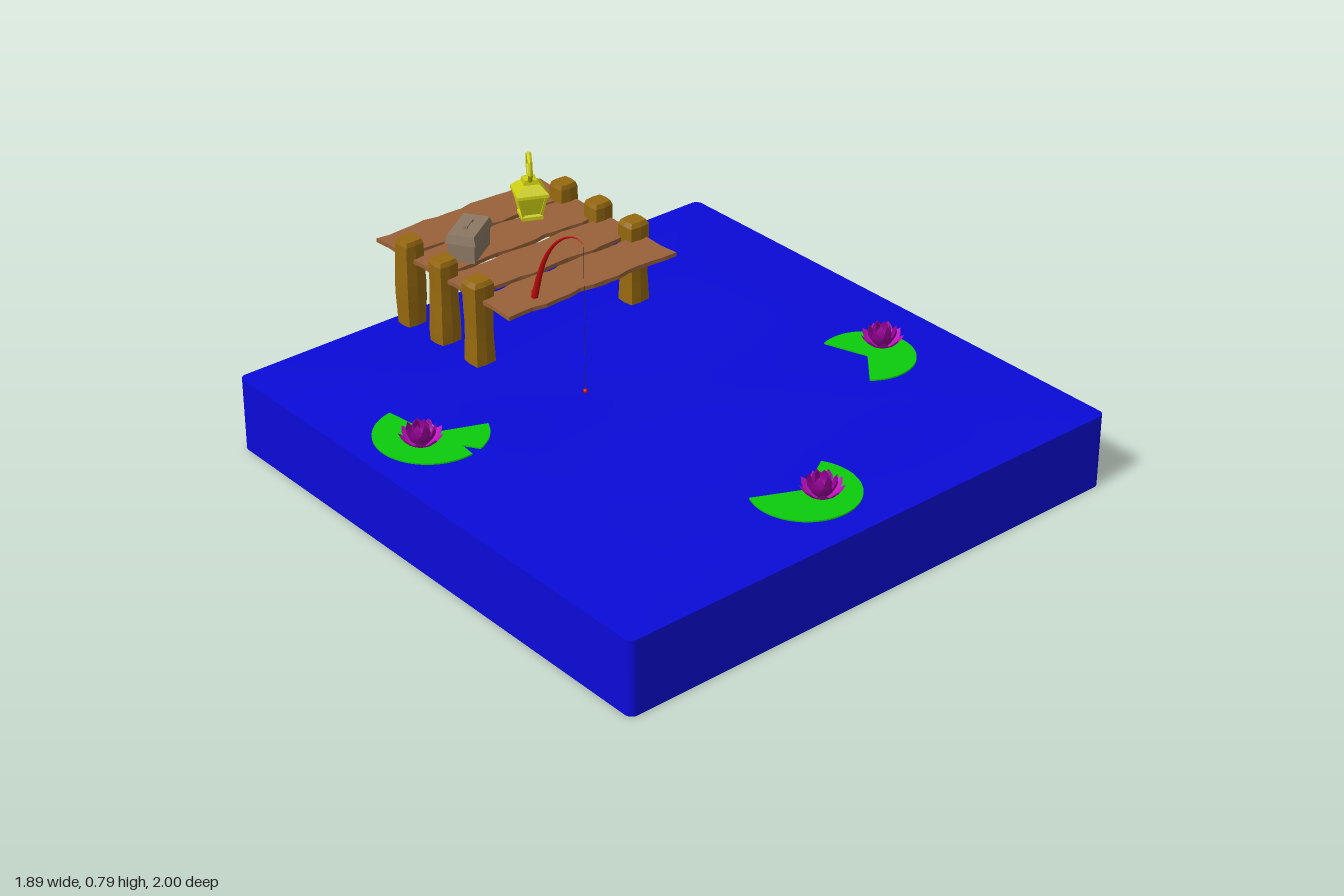
import * as THREE from 'three';

const mat = (color, extra = {}) => new THREE.MeshStandardMaterial({ color, ...extra });
const flat = { flatShading: true };
const WATER = mat(0x0a0ad8);
const PAD = mat(0x0ccc0c);
const PETAL = mat(0x990099, { side: THREE.DoubleSide });
const INNER = mat(0xbb10bb, { side: THREE.DoubleSide });
const PLANK = mat(0x99623a, flat);
const POST = mat(0x96690f, flat);
const BRASS = mat(0xcccc14, { flatShading: true, side: THREE.DoubleSide });
const CASE = mat(0x8c7864, flat);
const RED = mat(0xc00a0a);
const LINE = mat(0x333333);

function add(parent, name, geometry, material, x = 0, y = 0, z = 0) {
  const mesh = new THREE.Mesh(geometry, material);
  mesh.name = name;
  mesh.position.set(x, y, z);
  parent.add(mesh);
  return mesh;
}

// Moves every vertex of a geometry by a rule
function deform(geometry, rule) {
  const p = geometry.attributes.position, v = new THREE.Vector3();
  for (let i = 0; i < p.count; i++) {
    rule(v.fromBufferAttribute(p, i));
    p.setXYZ(i, v.x, v.y, v.z);
  }
  geometry.computeVertexNormals();
  return geometry;
}

// Extrudes a ground-plan shape (drawn in x and -z) upwards
const slab = (shape, depth) =>
  new THREE.ExtrudeGeometry(shape, { depth, bevelEnabled: false, curveSegments: 24 }).rotateX(-Math.PI / 2);

function makeWater() {
  const water = new THREE.Group();
  water.name = 'water';
  const a = 0.945, b = 0.95, r = 0.025, s = new THREE.Shape();
  s.absarc(a - r, b - r, r, 0, Math.PI / 2);
  s.absarc(-a + r, b - r, r, Math.PI / 2, Math.PI);
  s.absarc(-a + r, -b + r, r, Math.PI, Math.PI * 1.5);
  s.absarc(a - r, -b + r, r, Math.PI * 1.5, Math.PI * 2);
  add(water, 'waterBlock', slab(s, 0.253), WATER, 0, 0, 0.05);
  // rippled surface that settles to the block's rim
  const top = new THREE.PlaneGeometry(1.87, 1.88, 28, 28).rotateX(-Math.PI / 2);
  deform(top, (v) => {
    const rim = Math.min(0.935 - Math.abs(v.x), 0.94 - Math.abs(v.z));
    const wave = 0.013 + 0.004 * Math.sin(4 * v.x + 3 * v.z) + 0.004 * Math.sin(9 * v.z - 2 * v.x);
    v.y = 0.254 + wave * Math.min(1, rim / 0.3);
  });
  add(water, 'waterSurface', top, WATER, 0, 0, 0.05);
  return water;
}

// Wooden plank with worn, wavy long edges
function plankGeometry(z0, z1, seed) {
  const s = new THREE.Shape(), n = 14;
  const wobble = (i, k) => 0.005 * Math.sin(i * 1.3 + seed * 2.1 + k) + 0.003 * Math.sin(i * 2.9 + seed + k);
  for (let i = 0; i <= n; i++) {
    const x = -0.335 + (0.67 * i) / n;
    if (i) s.lineTo(x, -z1 + wobble(i, 0)); else s.moveTo(x, -z1);
  }
  s.lineTo(0.328, -(z0 + z1) / 2 - 0.02);
  for (let i = n; i >= 0; i--) s.lineTo(-0.335 + (0.67 * i) / n, -z0 + wobble(i, 3));
  s.lineTo(-0.329, -(z0 + z1) / 2 + 0.02);
  return slab(s, 0.014);
}

function makeDock() {
  const dock = new THREE.Group();
  dock.name = 'dock';
  [[-0.995, -0.84], [-0.822, -0.663], [-0.643, -0.49], [-0.47, -0.305]].forEach(([z0, z1], i) =>
    add(dock, 'plank', plankGeometry(z0, z1, i), PLANK, 0, 0.483, 0));
  // square posts with chamfered heads
  for (const x of [-0.323, 0.305]) for (const z of [-0.834, -0.655, -0.477]) {
    const g = new THREE.BoxGeometry(0.078, 0.31, 0.072, 2, 6, 2);
    deform(g, (v) => {
      const k = v.y > 0.15 ? 0.82 : 1 - 0.06 * Math.sin(v.y * 22 + z * 9);
      if (v.y > 0.1 && v.y < 0.15) v.y = 0.14;
      const corner = v.x && v.z ? 0.9 : 1;
      v.x *= k * corner;
      v.z *= k * corner;
    });
    add(dock, 'post', g, POST, x, 0.403, z);
  }
  return dock;
}

function makeTackleBox() {
  const box = new THREE.Group();
  box.name = 'tackleBox';
  add(box, 'boxBody', new THREE.BoxGeometry(0.148, 0.07, 0.088), CASE, 0, 0.035, 0);
  const lid = deform(new THREE.BoxGeometry(0.166, 0.03, 0.104), (v) => {
    if (v.y > 0) { v.x *= 0.93; v.z *= 0.85; }
  });
  add(box, 'boxLid', lid, CASE, 0, 0.08, 0);
  for (const x of [-0.025, 0.025]) add(box, 'handleFoot', new THREE.BoxGeometry(0.008, 0.008, 0.012), CASE, x, 0.098, 0);
  add(box, 'handle', new THREE.BoxGeometry(0.06, 0.004, 0.012), CASE, 0, 0.103, 0);
  box.position.set(-0.165, 0.497, -0.728);
  box.rotation.y = 0.58;
  return box;
}

function makeLantern() {
  const lantern = new THREE.Group();
  lantern.name = 'lantern';
  const profile = [[0, 0], [0.05, 0], [0.05, 0.012], [0.042, 0.018], [0.062, 0.08], [0.076, 0.085],
    [0.074, 0.095], [0.045, 0.118], [0.034, 0.122], [0.03, 0.138], [0, 0.143]].map((p) => new THREE.Vector2(...p));
  add(lantern, 'lanternBody', new THREE.LatheGeometry(profile, 4), BRASS);
  // raised ribs on the four corners
  for (let i = 0; i < 4; i++) {
    const a = (i * Math.PI) / 2;
    const path = new THREE.LineCurve3(
      new THREE.Vector3(0.043 * Math.sin(a), 0.016, 0.043 * Math.cos(a)),
      new THREE.Vector3(0.063 * Math.sin(a), 0.083, 0.063 * Math.cos(a)));
    add(lantern, 'cornerRib', new THREE.TubeGeometry(path, 1, 0.006, 4), BRASS);
  }
  const ring = add(lantern, 'carryRing', new THREE.TorusGeometry(0.046, 0.008, 5, 7), BRASS, 0, 0.178, 0);
  ring.rotation.set(0, 0.65, Math.PI / 2, 'YXZ');
  lantern.position.set(0.14, 0.497, -0.803);
  lantern.rotation.y = 0.35;
  return lantern;
}

function makeFishingRod() {
  const rod = new THREE.Group();
  rod.name = 'fishingRod';
  const pts = [[-0.358, 0.495], [-0.328, 0.59], [-0.297, 0.66], [-0.257, 0.717], [-0.2, 0.765], [-0.145, 0.785], [-0.112, 0.778]];
  const curve = new THREE.CatmullRomCurve3(pts.map(([z, y]) => new THREE.Vector3(0, y, z)));
  const n = 24, sides = 8;
  const g = new THREE.TubeGeometry(curve, n, 1, sides);
  const p = g.attributes.position, v = new THREE.Vector3();
  // taper the pole towards its tip
  for (let i = 0; i < p.count; i++) {
    const t = Math.floor(i / (sides + 1)) / n, c = curve.getPointAt(t);
    v.fromBufferAttribute(p, i).sub(c).multiplyScalar(0.01 * (1 - t) + 0.0012).add(c);
    p.setXYZ(i, v.x, v.y, v.z);
  }
  add(rod, 'pole', g, RED);
  add(rod, 'grip', new THREE.CylinderGeometry(0.009, 0.011, 0.03, 8), RED, 0, 0.507, -0.356);
  add(rod, 'line', new THREE.CylinderGeometry(0.0008, 0.0008, 0.51, 4), LINE, 0, 0.523, -0.112);
  add(rod, 'float', new THREE.SphereGeometry(0.008, 10, 8), RED, 0, 0.27, -0.112);
  rod.position.x = -0.195;
  return rod;
}

// Pointed petal along +z, cupped across and curling upwards
function petalGeometry(length, width, tilt) {
  return deform(new THREE.PlaneGeometry(2, 1, 2, 5), (v) => {
    const t = v.y + 0.5, a = tilt + (t - 0.5) * 0.5;
    const x = v.x * width * 0.5 * (0.25 * (1 - t) + Math.sin(Math.PI * Math.pow(t, 1.2)));
    const lift = 0.2 * Math.abs(x);
    v.set(x, t * length * Math.sin(a) + lift, 0.008 + t * length * Math.cos(a));
  });
}

function makeFlower(x, z) {
  const flower = new THREE.Group();
  flower.name = 'waterLilyFlower';
  [[9, 0.078, 0.038, 0.4], [8, 0.078, 0.036, 0.8], [6, 0.08, 0.032, 1.15]].forEach(([n, len, w, tilt], ring) => {
    const g = petalGeometry(len, w, tilt);
    for (let i = 0; i < n; i++) {
      add(flower, 'petal', g, ring === 0 ? INNER : PETAL).rotation.y = ((i + ring * 0.5) / n) * Math.PI * 2;
    }
  });
  add(flower, 'flowerHeart', new THREE.SphereGeometry(0.016, 10, 6), PETAL, 0, 0.01, 0);
  flower.position.set(x, 0.281, z);
  return flower;
}

// Pad made of one or more arcs (degrees), cut in to the centre and by small nicks
function makePad(x, z, r, arcs) {
  const s = new THREE.Shape(), rad = Math.PI / 180;
  s.moveTo(0, 0);
  arcs.forEach(([from, to], i) => {
    if (i) {
      const mid = ((arcs[i - 1][1] + from) / 2) * rad;
      s.lineTo(Math.cos(mid) * r * 0.67, Math.sin(mid) * r * 0.67);
    }
    s.absarc(0, 0, r, from * rad, to * rad);
  });
  s.lineTo(0, 0);
  const mesh = new THREE.Mesh(slab(s, 0.005), PAD);
  mesh.name = 'lilyPad';
  mesh.position.set(x, 0.275, z);
  return mesh;
}

export function createModel() {
  const model = new THREE.Group();
  model.name = 'fishingPond';
  model.add(makeWater(), makeDock(), makeTackleBox(), makeLantern(), makeFishingRod());
  model.add(
    makePad(-0.717, -0.205, 0.178, [[98, 277], [290, 338]]), makeFlower(-0.782, -0.165),
    makePad(0.61, 0.3, 0.154, [[229, 469]]), makeFlower(0.683, 0.288),
    makePad(-0.08, 0.76, 0.17, [[155, 391]]), makeFlower(-0.07, 0.82));
  return model;
}
